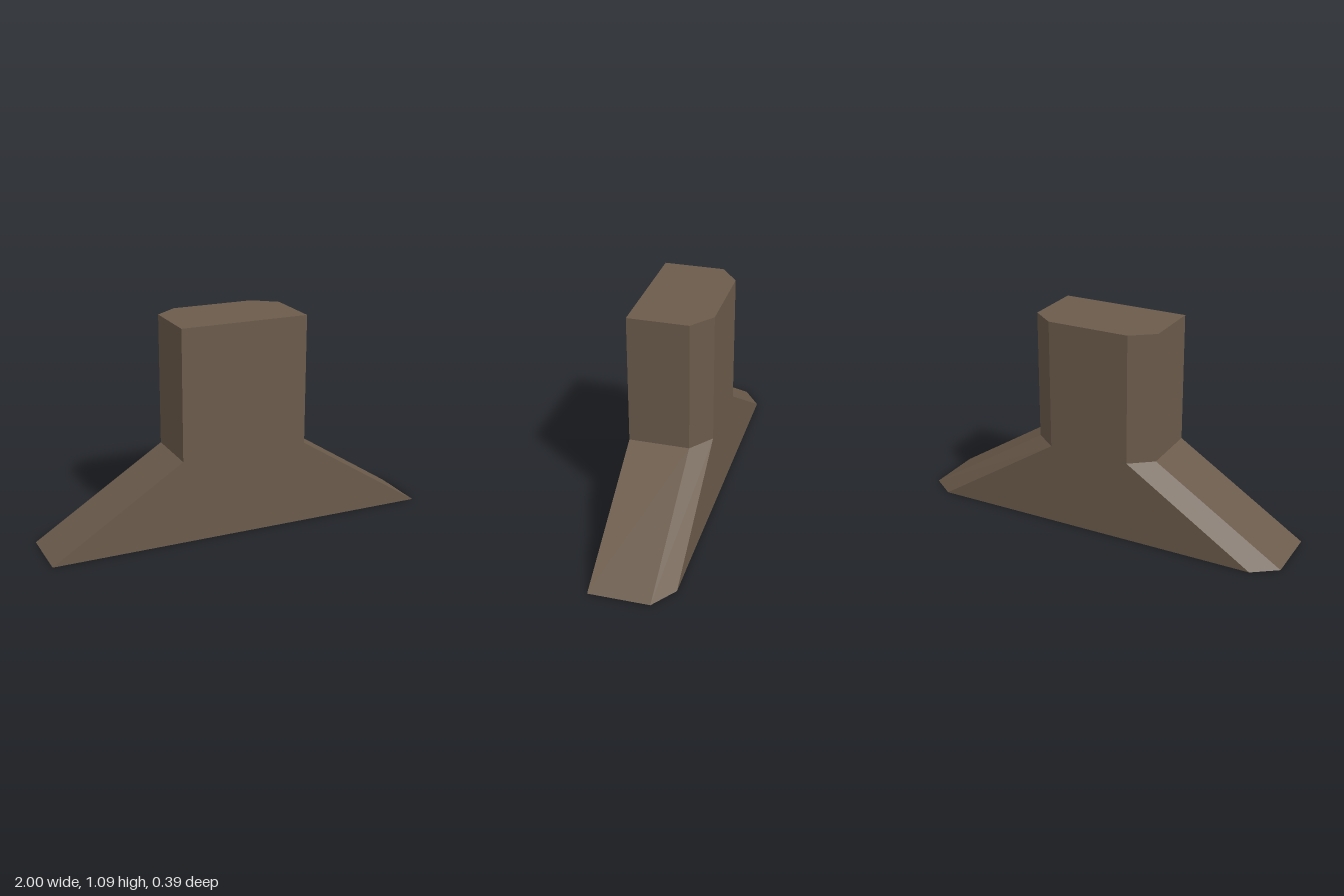
import * as THREE from 'three';

// One six-sided cross-section: square at the front, chamfered at the back corners
function section(y, halfWidth, backHalfWidth) {
  const front = 0.197, chamfer = -0.107, back = -0.197;
  return [
    [-halfWidth, y, front], [halfWidth, y, front], [halfWidth, y, chamfer],
    [backHalfWidth, y, back], [-backHalfWidth, y, back], [-halfWidth, y, chamfer],
  ];
}

// Joins sections bottom to top with flat faces and optional caps
function loft(sections, capBottom, capTop) {
  const positions = [];
  const tri = (a, b, c) => positions.push(...a, ...b, ...c);
  for (let s = 0; s < sections.length - 1; s++) {
    const lower = sections[s], upper = sections[s + 1];
    for (let i = 0; i < lower.length; i++) {
      const j = (i + 1) % lower.length;
      tri(lower[i], lower[j], upper[j]);
      tri(lower[i], upper[j], upper[i]);
    }
  }
  const bottom = sections[0], top = sections[sections.length - 1];
  for (let i = 1; i < bottom.length - 1; i++) {
    if (capBottom) tri(bottom[0], bottom[i + 1], bottom[i]);
    if (capTop) tri(top[0], top[i], top[i + 1]);
  }
  const geometry = new THREE.BufferGeometry();
  geometry.setAttribute('position', new THREE.Float32BufferAttribute(positions, 3));
  geometry.computeVertexNormals();
  return geometry;
}

export function createModel() {
  const group = new THREE.Group();
  group.name = 'flaredPost';
  const brown = new THREE.MeshStandardMaterial({ color: 0x6b5b4b });
  brown.name = 'brown';

  const foot = section(0, 1, 0.874);
  const shoulder = section(0.427, 0.329, 0.212);
  const head = section(1.09, 0.329, 0.212);

  // Flared base, sloping in to the post
  const base = new THREE.Mesh(loft([foot, shoulder], true, false), brown);
  base.name = 'flaredBase';

  // Straight upright post
  const post = new THREE.Mesh(loft([shoulder, head], false, true), brown);
  post.name = 'post';

  group.add(base, post);
  return group;
}
